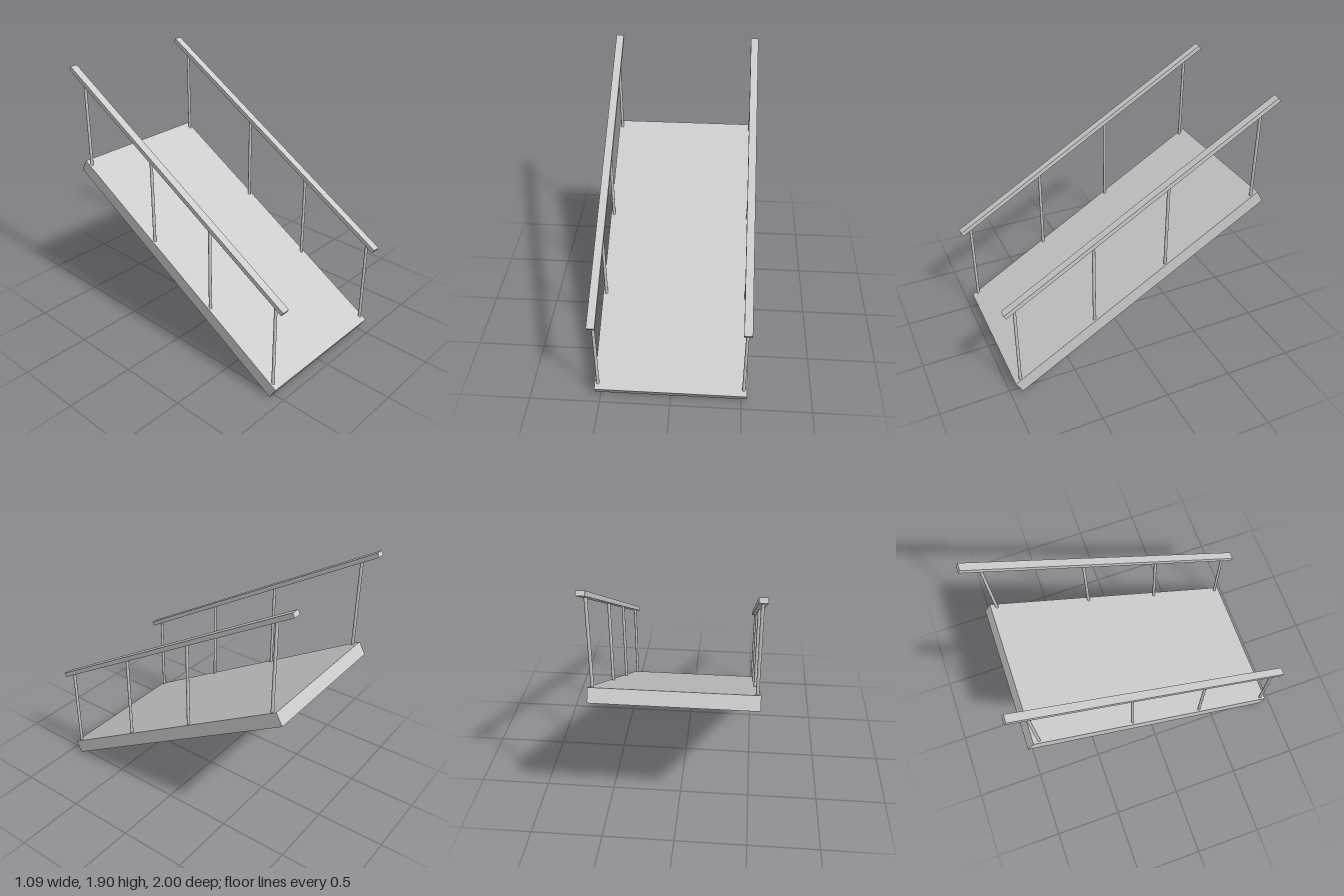
import * as THREE from 'three';

export function createModel() {
  const model = new THREE.Group();
  model.name = 'rampWithHandrails';
  const material = new THREE.MeshStandardMaterial({ color: 0xcccccc });

  const slope = THREE.MathUtils.degToRad(30.44);
  const deckY = 0.592, deckThickness = 0.098;
  const railY = 1.298, railThickness = 0.032;
  const sideX = 0.515;

  // Box tilted so that its back end (-z) is high
  function slopedBox(name, width, thickness, length, x, y) {
    const mesh = new THREE.Mesh(new THREE.BoxGeometry(width, thickness, length), material);
    mesh.name = name;
    mesh.position.set(x, y, 0);
    mesh.rotation.x = slope;
    model.add(mesh);
  }

  // Walking surface
  slopedBox('deck', 1.076, deckThickness, 2.171, 0, deckY);

  // Handrails on upright posts, mirrored left and right
  const postGeometry = new THREE.CylinderGeometry(0.011, 0.011, 1, 16);
  const deckTop = deckY + deckThickness / 2 / Math.cos(slope);
  for (const side of [1, -1]) {
    const label = side > 0 ? 'left' : 'right';
    slopedBox(`${label}Handrail`, 0.056, railThickness, 2.302, side * sideX, railY);
    [0.918, 0.345, -0.202, -0.87].forEach((z, i) => {
      const drop = z * Math.tan(slope);
      const bottom = deckTop - 0.01 - drop;
      const top = railY - drop;
      const post = new THREE.Mesh(postGeometry, material);
      post.name = `${label}Post${i + 1}`;
      post.scale.y = top - bottom;
      post.position.set(side * sideX, (top + bottom) / 2, z);
      model.add(post);
    });
  }
  return model;
}
